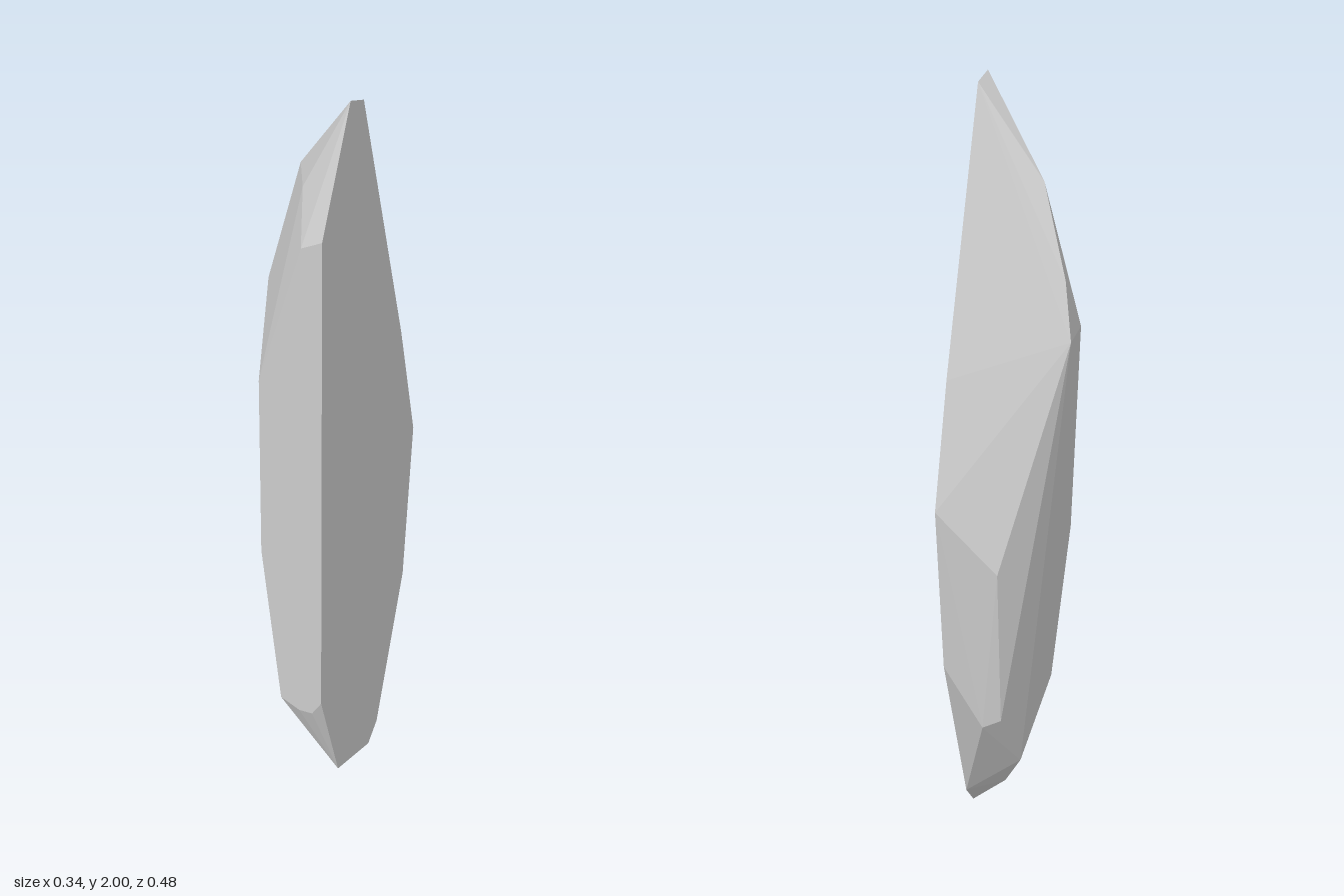
import * as THREE from 'three';
import { ConvexGeometry } from 'three/addons/geometries/ConvexGeometry.js';

const SIDE_X = 0.168;  // plane of the flat cut side
const FRONT_Z = 0.24;  // plane of the flat front facet

export function createModel() {
  const group = new THREE.Group();
  group.name = 'crystalShard';

  // outline of the cut side as [z, y]
  const cutSide = [
    [0.115, 2.0], [0.055, 1.98], [-0.15, 1.26], [-0.228, 0.93], [-0.19, 0.48],
    [-0.06, 0.05], [-0.015, 0.0], [0.15, 0.03], [0.24, 0.32], [0.24, 1.69],
  ].map(([z, y]) => new THREE.Vector3(SIDE_X, y, z));

  // outline of the front facet as [x, y]
  const frontFacet = [
    [0.11, 1.66], [-0.013, 1.26], [-0.013, 0.75], [0.043, 0.29], [0.1, 0.27], [0.14, 0.275],
  ].map(([x, y]) => new THREE.Vector3(x, y, FRONT_Z));

  // chipped corners of the rough outer side as [x, y, z], top to bottom
  const roughSide = [
    [0.06, 1.77, 0.15], [-0.03, 1.755, 0.013], [-0.134, 1.54, -0.097],
    [-0.168, 1.4, -0.143], [-0.138, 1.4, -0.005], [-0.01, 0.79, -0.24],
    [0.0, 0.36, -0.2], [0.053, 0.33, -0.2], [-0.012, 0.2, -0.1], [0.055, 0.1, -0.05],
  ].map((p) => new THREE.Vector3(...p));

  // the shard is the convex solid spanned by its corners
  const shard = new THREE.Mesh(
    new ConvexGeometry([...cutSide, ...frontFacet, ...roughSide]),
    new THREE.MeshStandardMaterial({ color: 0xcccccc, flatShading: true }),
  );
  shard.name = 'shard';
  group.add(shard);
  return group;
}
